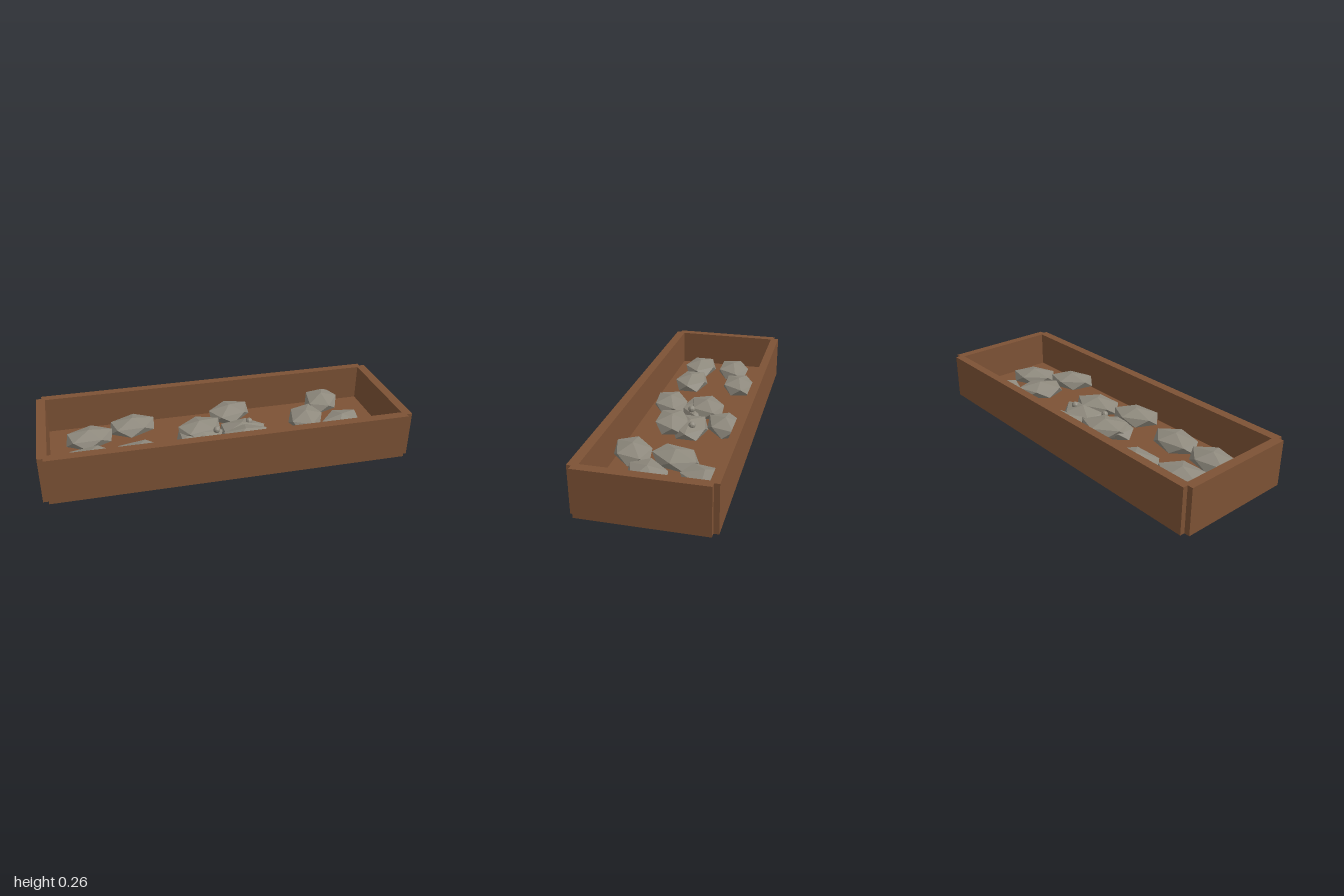
import * as THREE from 'three';

export function createModel() {
  const root = new THREE.Group();
  root.name = 'stoneBed';
  const wood = new THREE.MeshStandardMaterial({ color: 0x7d5235, flatShading: true });
  wood.name = 'brown wood';
  const stone = new THREE.MeshStandardMaterial({ color: 0x8f8a7e, flatShading: true });
  stone.name = 'grey stone';

  const add = (name, geometry, material, x, y, z) => {
    const mesh = new THREE.Mesh(geometry, material);
    mesh.name = name;
    mesh.position.set(x, y, z);
    root.add(mesh);
    return mesh;
  };

  // Plank frame: one outline with a small notch at every corner
  const front = 0.352, back = -0.347, sideFront = 0.328, sideBack = -0.32;
  const corners = [
    [-0.97, back], [0.97, back], [0.97, sideBack], [1, sideBack],
    [1, sideFront], [0.97, sideFront], [0.97, front], [-0.97, front],
    [-0.97, sideFront], [-1, sideFront], [-1, sideBack], [-0.97, sideBack],
  ];
  const outline = () => new THREE.Shape(corners.map(([x, z]) => new THREE.Vector2(x, -z)));
  const slab = (shape, depth) =>
    new THREE.ExtrudeGeometry(shape, { depth, bevelEnabled: false }).rotateX(-Math.PI / 2);

  const frame = outline();
  frame.holes.push(new THREE.Path([
    [-0.95, -0.3], [0.95, -0.3], [0.95, 0.3], [-0.95, 0.3],
  ].map(([x, y]) => new THREE.Vector2(x, y))));
  const floorTop = 0.05;
  add('frameWalls', slab(frame, 0.256 - floorTop), wood, 0, floorTop, 0);
  add('floor', slab(outline(), floorTop), wood, 0, 0, 0);

  // Flattened faceted stone with one point facing up
  const rock = new THREE.IcosahedronGeometry(1, 0)
    .rotateZ(-Math.atan(2 / (1 + Math.sqrt(5))))
    .scale(0.15, 0.05, 0.108);

  // x, y, z and turn of each stone
  const stones = [
    [-0.73, 0.1, -0.09, 0.25], [-0.48, 0.1, -0.17, 0.25],
    [-0.735, 0.1, 0.13, 0], [-0.475, 0.1, 0.13, 0],
    [-0.12, 0.08, 0, 0], [0.13, 0.08, -0.01, 0],
    [-0.11, 0.1, -0.05, 0.45], [0.1, 0.1, -0.2, 0.5],
    [-0.125, 0.1, 0.17, 0.35], [0.125, 0.1, 0.095, 0.25],
    [0.685, 0.1, -0.218, 1.15], [0.52, 0.1, -0.03, 1.1],
    [0.71, 0.1, 0.06, 0.6], [0.5, 0.1, 0.2, 0.55],
  ];
  stones.forEach(([x, y, z, turn], i) => {
    add('stone' + (i + 1), rock, stone, x, y, z).rotation.y = turn;
  });

  // Pebbles resting between the stones
  const pebble = new THREE.SphereGeometry(0.02, 10, 8);
  add('pebble1', pebble, stone, -0.025, 0.12, 0.022);
  add('pebble2', pebble, stone, 0.178, 0.12, -0.03);
  return root;
}
